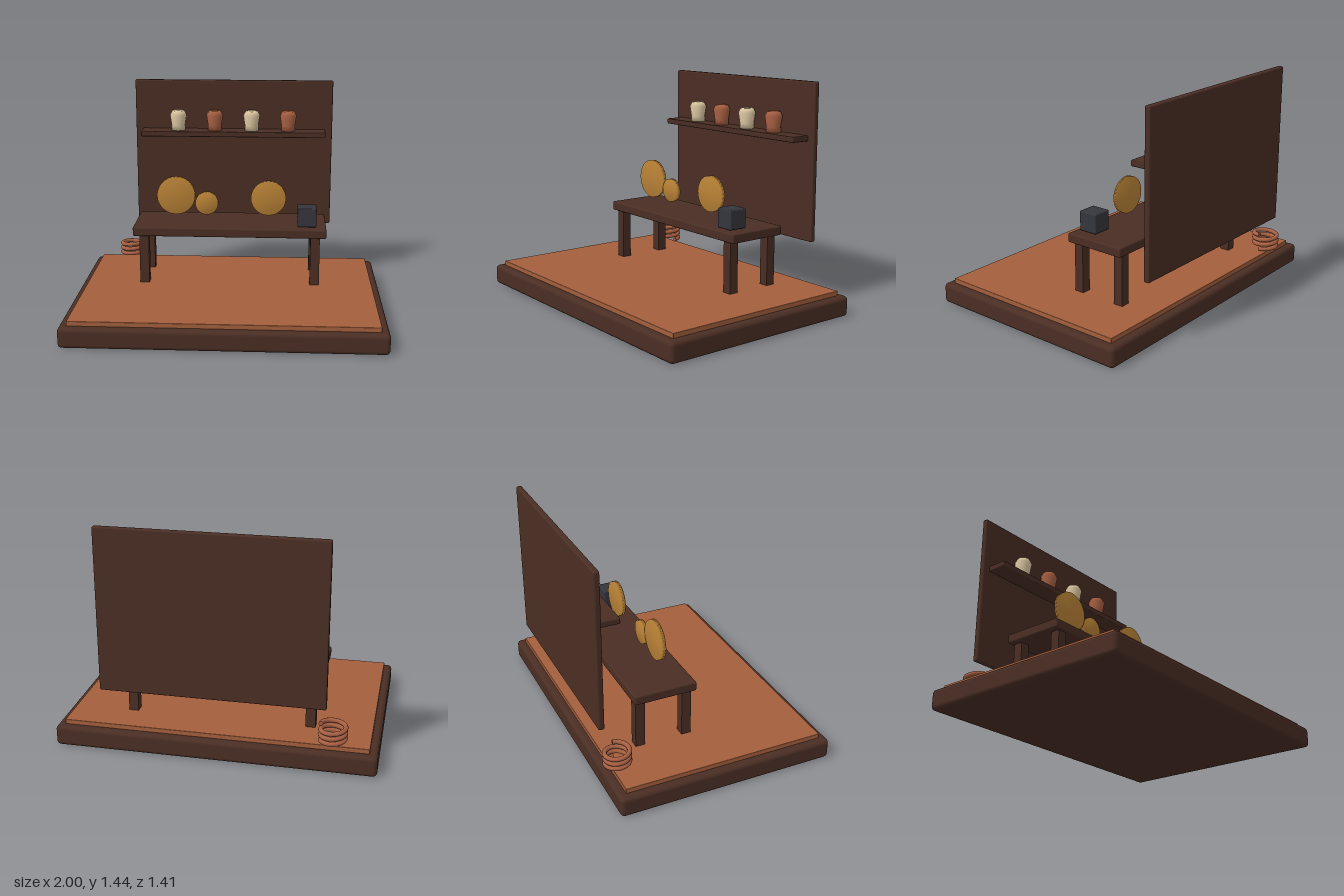
import * as THREE from 'three';
import { RoundedBoxGeometry } from 'three/addons/geometries/RoundedBoxGeometry.js';

const mat = (name, color) => {
  const m = new THREE.MeshStandardMaterial({ color });
  m.name = name;
  return m;
};

export function createModel() {
  const root = new THREE.Group();
  root.name = 'workshopDisplay';

  const wood = mat('darkWood', 0x4a2e24);
  const clay = mat('terracotta', 0xa45f3c);
  const copper = mat('copper', 0xa65f42);
  const cream = mat('creamCeramic', 0xdcc6a0);
  const brass = mat('brass', 0xb98236);
  const slate = mat('slate', 0x35353d);

  const add = (name, geometry, material, x, y, z) => {
    const mesh = new THREE.Mesh(geometry, material);
    mesh.name = name;
    mesh.position.set(x, y, z);
    root.add(mesh);
    return mesh;
  };

  // Rounded box given by its extents on each axis
  const box = (name, material, [x0, x1], [y0, y1], [z0, z1], radius) =>
    add(name, new RoundedBoxGeometry(x1 - x0, y1 - y0, z1 - z0, 3, radius), material,
      (x0 + x1) / 2, (y0 + y1) / 2, (z0 + z1) / 2);

  // Plinth and floor
  box('base', wood, [-1, 1], [0, 0.13], [-0.7, 0.7], 0.026);
  box('floor', clay, [-0.95, 0.95], [0.128, 0.16], [-0.65, 0.65], 0.004);

  // Back panel and shelf
  box('backPanel', wood, [-0.69, 0.69], [0.415, 1.44], [-0.708, -0.67], 0.01);
  box('shelf', wood, [-0.64, 0.64], [1.063, 1.1], [-0.672, -0.537], 0.006);

  // Table
  box('tableTop', wood, [-0.64, 0.64], [0.487, 0.547], [-0.457, -0.05], 0.01);
  for (const x of [-0.567, 0.567])
    for (const z of [-0.098, -0.407])
      add('tableLeg', new THREE.BoxGeometry(0.062, 0.33, 0.062), wood, x, 0.324, z);

  // Pots on the shelf, alternating colours
  const potProfile = [[0, 0], [0.05, 0], [0.047, 0.035], [0.058, 0.105], [0.042, 0.135], [0, 0.135]]
    .map(([r, y]) => new THREE.Vector2(r, y));
  const potGeometry = new THREE.LatheGeometry(potProfile, 18);
  [-0.385, -0.13, 0.127, 0.382].forEach((x, i) =>
    add('pot', potGeometry, i % 2 ? copper : cream, x, 1.1, -0.615));

  // Upright brass discs
  for (const [x, y, r] of [[-0.362, 0.733, 0.128], [-0.157, 0.682, 0.077], [0.255, 0.722, 0.117]]) {
    const profile = [[0, -0.015], [r, -0.015], [r, 0.015], [0, 0.015]]
      .map(([a, b]) => new THREE.Vector2(a, b));
    add('brassDisc', new THREE.LatheGeometry(profile, 28), brass, x, y, -0.2).rotation.x = Math.PI / 2;
  }

  // Block on the table
  box('slateBlock', slate, [0.449, 0.574], [0.554, 0.68], [-0.214, -0.088], 0.008);

  // Copper wire coil: three turns with capped ends
  const turns = 3, wire = 0.0145, coilRadius = 0.075, steps = 48;
  const points = Array.from({ length: steps + 1 }, (_, i) => {
    const a = (i / steps) * turns * Math.PI * 2;
    return new THREE.Vector3(Math.cos(a) * coilRadius, 0.1 * i / steps, -Math.sin(a) * coilRadius);
  });
  const path = new THREE.CatmullRomCurve3(points);
  add('wireCoil', new THREE.TubeGeometry(path, 120, wire, 10), copper, -0.725, 0.182, -0.612);
  for (const [p, flip] of [[points[0], 0], [points[steps], Math.PI]]) {
    const cap = add('coilEnd', new THREE.CircleGeometry(wire, 10), copper,
      p.x - 0.725, p.y + 0.182, p.z - 0.612);
    cap.rotation.y = flip;
  }

  return root;
}
